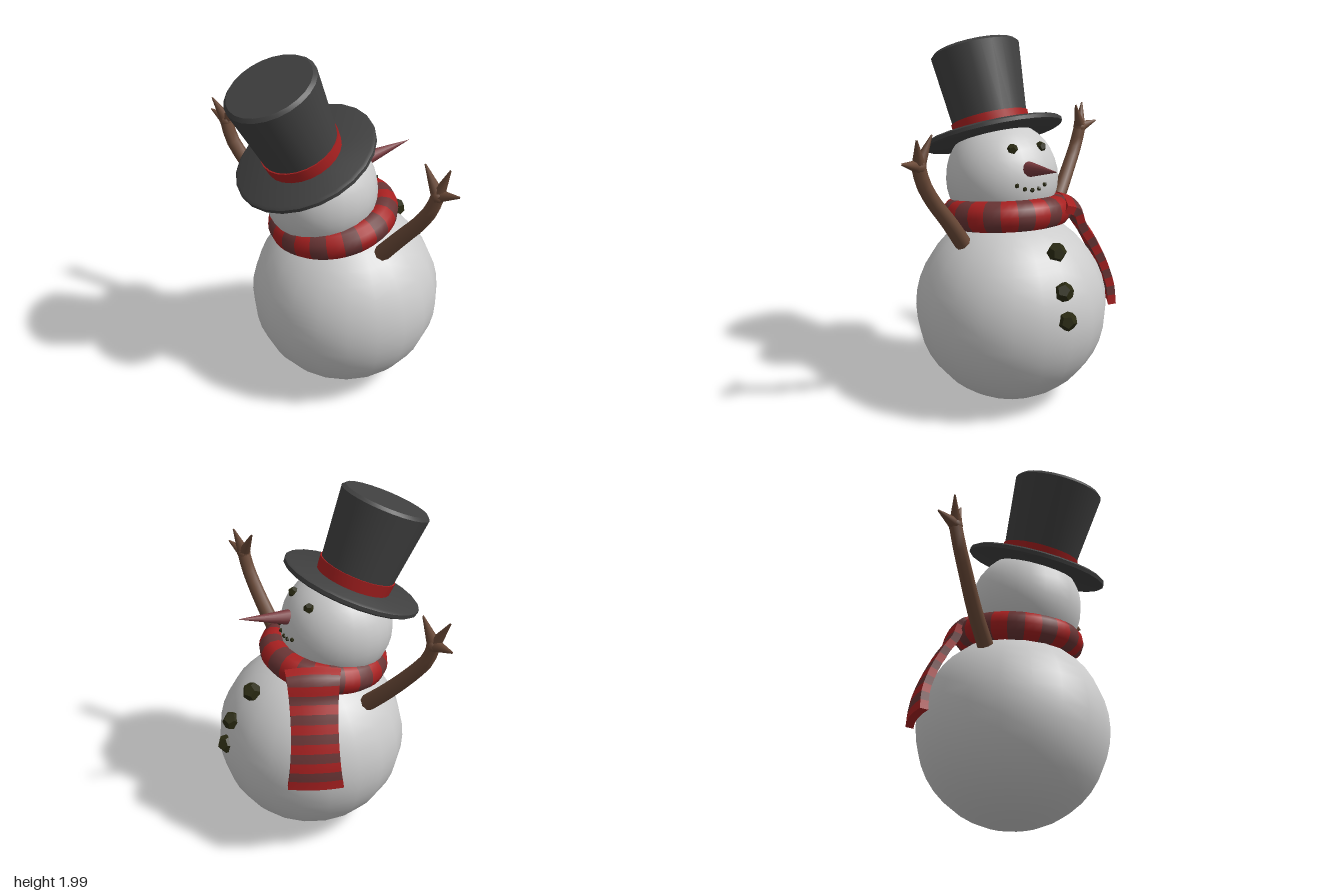
import * as THREE from 'three';
import { toCreasedNormals } from 'three/addons/utils/BufferGeometryUtils.js';

const paint = (color, extra = {}) => Object.assign(new THREE.MeshStandardMaterial({ color }), extra);
const V = (p) => new THREE.Vector3(...p);

export function createModel() {
  const model = new THREE.Group();
  const snow = paint(0xcccccc);
  const felt = paint(0x404040);
  const red = paint(0xa82020);
  const darkRed = paint(0x6a3535);
  const wood = paint(0x6b4a38);
  const carrot = paint(0x7a3a3e);
  const coal = paint(0x2a2a12, { flatShading: true });

  function add(name, geometry, material, position = [0, 0, 0], parent = model) {
    const mesh = new THREE.Mesh(geometry, material);
    mesh.name = name;
    mesh.position.set(...position);
    parent.add(mesh);
    return mesh;
  }
  function group(name, parent = model) {
    const g = new THREE.Group();
    g.name = name;
    parent.add(g);
    return g;
  }

  // Snowballs
  const bodyCentre = V([0.085, 0.535, -0.045]);
  const headCentre = V([0, 1.23, 0.075]);
  add('body', new THREE.SphereGeometry(0.53, 20, 20), snow, bodyCentre.toArray());
  add('head', new THREE.SphereGeometry(0.31, 24, 18), snow, headCentre.toArray());

  // Tilted top hat: brim, crown with bevelled rim, ribbon
  const hat = group('hat');
  hat.position.set(-0.035, 1.452, 0.16);
  hat.quaternion.setFromUnitVectors(V([0, 1, 0]), V([-0.165, 0.92, 0.37]).normalize());
  const lathe = (points) =>
    toCreasedNormals(new THREE.LatheGeometry(points.map((p) => new THREE.Vector2(...p)), 24), 0.6);
  add('hatBrim', lathe([[0, -0.02], [0.375, -0.02], [0.39, -0.01], [0.39, 0.01], [0.375, 0.02], [0, 0.02]]), felt, [0, 0, 0], hat);
  add('hatCrown', lathe([[0.2, 0], [0.25, 0.475], [0.232, 0.492], [0, 0.492]]), felt, [0, 0, 0], hat);
  add('hatRibbon', lathe([[0.2, 0.015], [0.209, 0.015], [0.217, 0.09], [0.2, 0.09]]), red, [0, 0, 0], hat);

  // Striped scarf ring, made of alternating arcs
  const scarf = group('scarf');
  scarf.position.set(0.04, 1.053, 0.015);
  scarf.quaternion.setFromUnitVectors(V([0, 1, 0]), V([-0.11, 1, 0.13]).normalize());
  const bands = 24;
  const step = (Math.PI * 2) / bands;
  for (let i = 0; i < bands; i++) {
    const arc = new THREE.TorusGeometry(0.278, 0.083, 12, 2, step);
    arc.rotateX(-Math.PI / 2).rotateY(i * step);
    add('scarfBand', arc, i % 2 ? darkRed : red, [0, 0, 0], scarf);
  }

  // Scarf tail: striped slab following the belly; path is (distance from body axis, height)
  const tailPath = new THREE.CatmullRomCurve3(
    [[0.28, 1.125], [0.35, 1.095], [0.385, 1.0], [0.435, 0.92], [0.505, 0.78], [0.545, 0.66], [0.558, 0.55]]
      .map(([r, y]) => V([r, y, 0])));
  const tail = group('scarfTail');
  tail.position.set(bodyCentre.x, 0, bodyCentre.z);
  tail.rotation.y = Math.PI * 0.75; // local +x points to the front of the wearer's right
  const stripes = 13;
  for (let s = 0; s < stripes; s++) {
    const slab = new THREE.BoxGeometry(1, 1, 1, 1, 3, 4);
    const pos = slab.attributes.position;
    for (let i = 0; i < pos.count; i++) {
      const t = (s + 0.5 - pos.getY(i)) / stripes;
      const p = tailPath.getPointAt(t);
      const d = tailPath.getTangentAt(t);
      const across = pos.getZ(i) * (0.25 + 0.05 * (2 * t - 1) ** 2);
      const out = pos.getX(i) * 0.045 - 0.8 * across * across;
      pos.setXYZ(i, p.x - d.y * out, p.y + d.x * out, across);
    }
    add('tailStripe', toCreasedNormals(slab, 0.7), s % 2 ? darkRed : red, [0, 0, 0], tail);
  }

  // Tapered branch along a curve, with a flat cap at its base
  function branch(name, points, r0, r1, parent) {
    const n = 10, sides = 8;
    const curve = new THREE.CatmullRomCurve3(points.map(V));
    const geo = new THREE.TubeGeometry(curve, n, 1, sides);
    const pos = geo.attributes.position;
    const v = new THREE.Vector3();
    for (let i = 0; i < pos.count; i++) {
      const t = Math.floor(i / (sides + 1)) / n;
      const c = curve.getPointAt(t);
      v.fromBufferAttribute(pos, i).sub(c).multiplyScalar(r0 + (r1 - r0) * t).add(c);
      pos.setXYZ(i, v.x, v.y, v.z);
    }
    add(name, geo, wood, [0, 0, 0], parent);
    const cap = add(name + 'Cap', new THREE.CircleGeometry(r0, sides), wood, points[0], parent);
    cap.lookAt(curve.getPointAt(0).sub(curve.getTangentAt(0)));
  }
  function arm(name, path, tips) {
    const g = group(name);
    branch('limb', path, 0.046, 0.036, g);
    const wrist = path[path.length - 1];
    add('palm', new THREE.SphereGeometry(0.04, 8, 6), wood, wrist, g);
    for (const tip of tips) {
      const middle = wrist.map((c, k) => c * 0.5 + tip[k] * 0.5);
      branch('finger', [wrist, middle, tip], 0.036, 0.004, g);
    }
  }
  arm('leftArm',
    [[0.38, 0.94, 0.055], [0.5, 1.09, 0.055], [0.62, 1.24, 0.07], [0.68, 1.34, 0.075], [0.71, 1.43, 0.075]],
    [[0.62, 1.575, 0.06], [0.755, 1.575, 0.045], [0.835, 1.465, 0.08]]);
  arm('rightArm',
    [[-0.31, 0.89, -0.02], [-0.44, 1.02, -0.015], [-0.59, 1.19, 0], [-0.67, 1.3, 0.005], [-0.705, 1.4, 0]],
    [[-0.84, 1.42, -0.03], [-0.775, 1.535, 0.03], [-0.635, 1.545, -0.01]]);

  // Carrot nose
  const noseBase = V([0.115, 1.33, -0.18]);
  const noseTip = V([0.24, 1.375, -0.435]);
  const along = noseTip.clone().sub(noseBase);
  const nose = add('nose', new THREE.ConeGeometry(0.042, along.length(), 12), carrot,
    noseBase.clone().add(noseTip).multiplyScalar(0.5).toArray());
  nose.quaternion.setFromUnitVectors(V([0, 1, 0]), along.normalize());

  // Coal eyes, mouth and buttons
  function lump(name, position, radius, turn) {
    const m = add(name, new THREE.DodecahedronGeometry(radius, 0), coal, position);
    m.rotation.set(turn, turn * 1.7, turn * 0.6);
  }
  lump('eye', [0.153, 1.435, -0.1], 0.03, 0.4);
  lump('eye', [-0.02, 1.425, -0.165], 0.03, 1.1);
  [[0.2, 1.255, -0.163], [0.165, 1.233, -0.188], [0.125, 1.223, -0.208], [0.085, 1.225, -0.223], [0.043, 1.24, -0.232]]
    .forEach((p, i) => lump('mouthCoal', p, 0.013, i));
  [[0.19, 0.932, -0.405], [0.262, 0.755, -0.497], [0.28, 0.607, -0.53]]
    .forEach((p, i) => lump('button', p, 0.053, 0.5 + i));

  return model;
}
